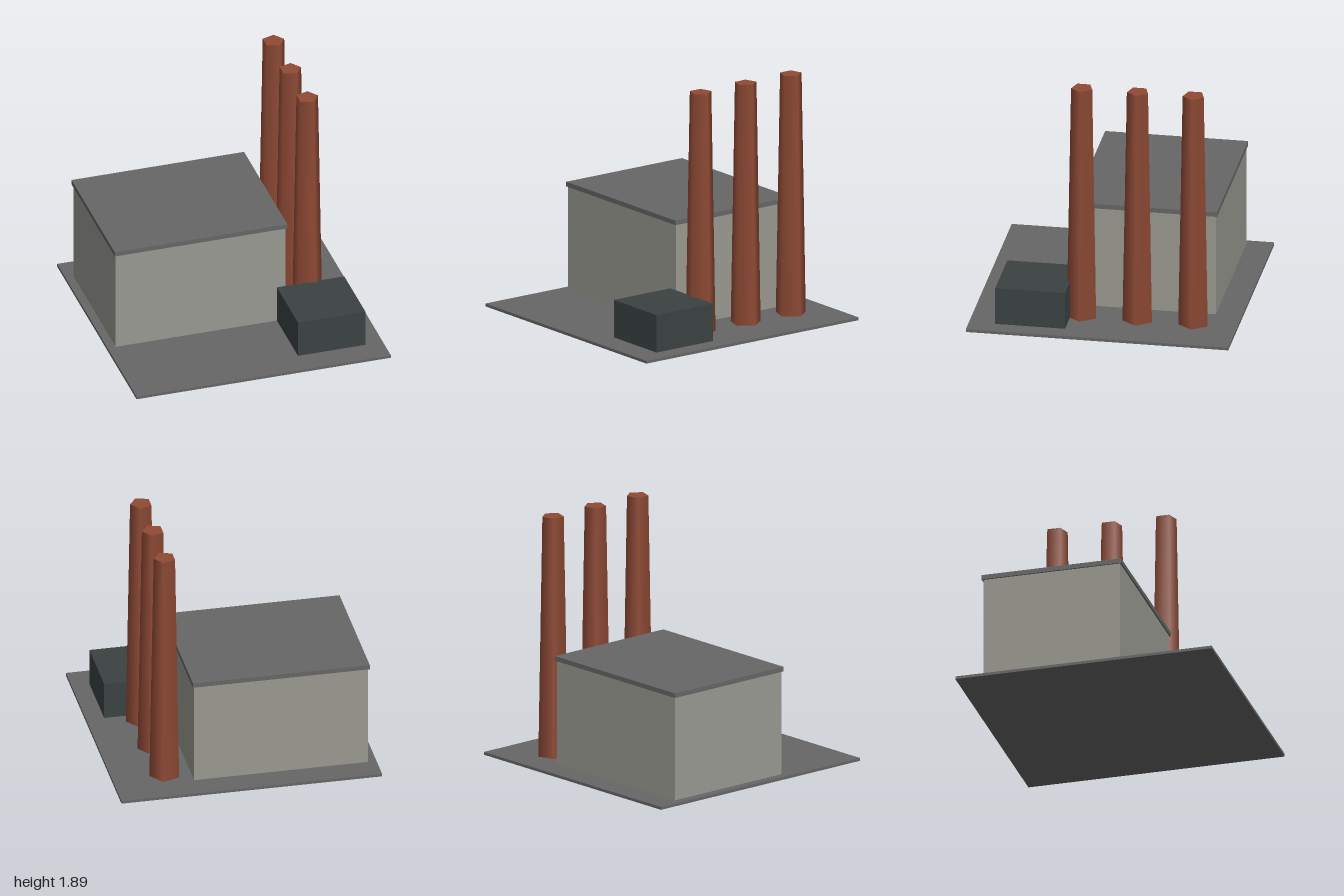
import * as THREE from 'three';

const material = (name, color) => {
  const m = new THREE.MeshStandardMaterial({ color });
  m.name = name;
  return m;
};

export function createModel() {
  const model = new THREE.Group();
  model.name = 'powerStation';

  const slate = material('slateGrey', 0x666666);
  const concrete = material('concreteGrey', 0x999991);
  const dark = material('darkGrey', 0x3b4242);
  const brick = material('brickRed', 0x8f4a35);

  // Axis-aligned block given by its limits on each axis
  const block = (name, mat, [x0, x1], [y0, y1], [z0, z1]) => {
    const mesh = new THREE.Mesh(new THREE.BoxGeometry(x1 - x0, y1 - y0, z1 - z0), mat);
    mesh.position.set((x0 + x1) / 2, (y0 + y1) / 2, (z0 + z1) / 2);
    mesh.name = name;
    model.add(mesh);
  };

  const ground = 0.022;
  block('basePlate', slate, [-1, 1], [0, ground], [-1, 1]);

  // Main hall with a slightly overhanging flat roof
  block('hallWalls', concrete, [-0.935, 0.4], [ground, 0.825], [-0.8, 0.268]);
  block('hallRoof', slate, [-0.946, 0.411], [0.825, 0.861], [-0.811, 0.279]);

  // Low annex at the front corner
  block('annex', dark, [0.332, 0.862], [ground, 0.314], [0.268, 0.8]);

  // Row of tapering five-sided chimneys, one corner pointing to +x
  const top = 1.89;
  const chimneyGeometry = new THREE.CylinderGeometry(0.085, 0.118, top - ground, 5, 1, false, Math.PI / 2);
  for (let i = 0; i < 3; i++) {
    const chimney = new THREE.Mesh(chimneyGeometry, brick);
    chimney.position.set(0.597, (top + ground) / 2, 0.183 - i * 0.425);
    chimney.name = `chimney${i + 1}`;
    model.add(chimney);
  }

  return model;
}
